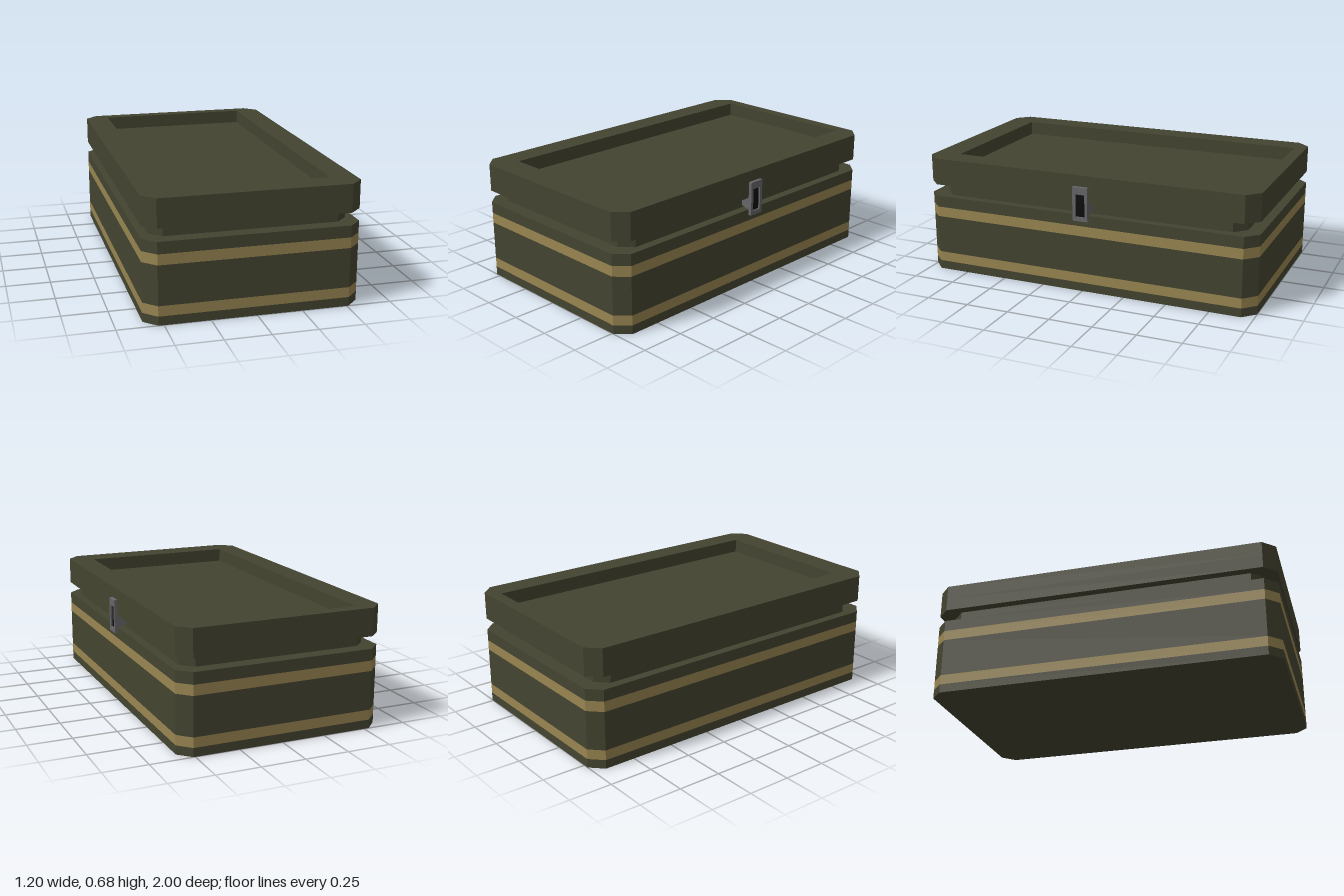
import * as THREE from 'three';

const material = (color) => new THREE.MeshStandardMaterial({ color, flatShading: true });
const olive = material(0x444431);
const gold = material(0x988551);
const steel = material(0x666668);
const black = material(0x0c0c0c);

const CENTER_X = -0.01; // the clasp offsets the box slightly from the origin

// Rectangle with cut corners, centred on the origin
function chamferedRect(w, d, c) {
  const x = w / 2, y = d / 2;
  return new THREE.Shape([
    [-x + c, -y], [x - c, -y], [x, -y + c], [x, y - c],
    [x - c, y], [-x + c, y], [-x, y - c], [-x, -y + c],
  ].map(([a, b]) => new THREE.Vector2(a, b)));
}

function rectPath(x0, x1, y0, y1) {
  return new THREE.Path([[x0, y0], [x0, y1], [x1, y1], [x1, y0]].map(([a, b]) => new THREE.Vector2(a, b)));
}

// Horizontal slab from y0 to y1
function slab(name, shape, y0, y1, mat) {
  const geo = new THREE.ExtrudeGeometry(shape, { depth: y1 - y0, bevelEnabled: false });
  geo.rotateX(-Math.PI / 2);
  const mesh = new THREE.Mesh(geo, mat);
  mesh.name = name;
  mesh.position.set(CENTER_X, y0, 0);
  return mesh;
}

export function createModel() {
  const model = new THREE.Group();
  model.name = 'box';
  const outline = chamferedRect(1.18, 2, 0.07);

  // Body with two gold bands flush with the walls
  const body = new THREE.Group();
  body.name = 'body';
  const levels = [0, 0.05, 0.107, 0.328, 0.387, 0.453];
  for (let i = 0; i < 5; i++) {
    const band = i % 2 === 1;
    body.add(slab(band ? 'goldBand' : 'bodyWall', outline, levels[i], levels[i + 1], band ? gold : olive));
  }
  model.add(body);

  // Inset neck between body and lid
  model.add(slab('neck', chamferedRect(1.08, 1.84, 0.065), 0.453, 0.523, olive));

  // Lid with a sunken panel, a little nearer the back
  const lid = new THREE.Group();
  lid.name = 'lid';
  const rim = chamferedRect(1.18, 2, 0.07);
  rim.holes.push(rectPath(-0.45, 0.45, -0.848, 0.93));
  lid.add(slab('lidBase', outline, 0.523, 0.6, olive), slab('lidRim', rim, 0.6, 0.68, olive));
  model.add(lid);

  // Clasp on the left side
  const clasp = new THREE.Group();
  clasp.name = 'clasp';
  const frameShape = chamferedRect(0.09, 0.195, 0);
  frameShape.holes.push(rectPath(-0.028, 0.028, -0.074, 0.056));
  const frameGeo = new THREE.ExtrudeGeometry(frameShape, { depth: 0.02, bevelEnabled: false });
  frameGeo.rotateY(Math.PI / 2);
  const frame = new THREE.Mesh(frameGeo, steel);
  frame.name = 'claspFrame';
  frame.position.set(0.58, 0.519, 0);

  const slot = new THREE.Mesh(new THREE.BoxGeometry(0.006, 0.132, 0.058), black);
  slot.name = 'claspSlot';
  slot.position.set(0.586, 0.51, 0);

  // Tapered arm reaching into the groove
  const armShape = new THREE.Shape([[0.53, 0.467], [0.582, 0.453], [0.582, 0.523], [0.53, 0.523]]
    .map(([a, b]) => new THREE.Vector2(a, b)));
  const arm = new THREE.Mesh(new THREE.ExtrudeGeometry(armShape, { depth: 0.09, bevelEnabled: false }), steel);
  arm.name = 'claspArm';
  arm.position.z = -0.045;
  clasp.add(frame, slot, arm);
  model.add(clasp);

  return model;
}
